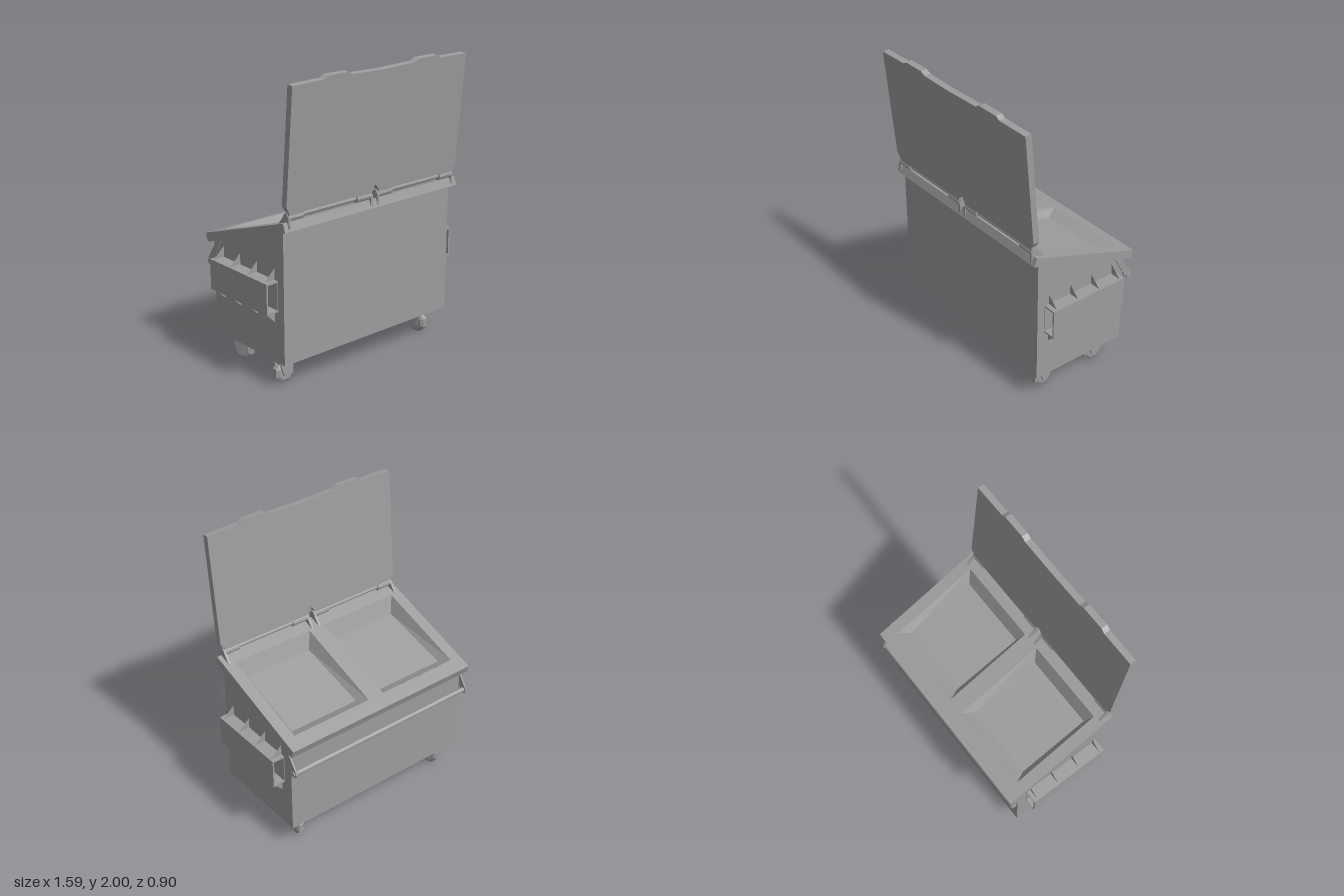
import * as THREE from 'three';

const grey = new THREE.MeshStandardMaterial({ color: 0x9c9c9c, flatShading: true });
const sheet = new THREE.MeshStandardMaterial({ color: 0x9c9c9c, flatShading: true, side: THREE.DoubleSide });

function add(parent, name, geometry, x = 0, y = 0, z = 0, material = grey) {
  const mesh = new THREE.Mesh(geometry, material);
  mesh.name = name;
  mesh.position.set(x, y, z);
  parent.add(mesh);
  return mesh;
}

const toShape = (pts) => new THREE.Shape(pts.map(([a, b]) => new THREE.Vector2(a, b)));
const rect = (x0, x1, y0, y1) => [[x0, y0], [x1, y0], [x1, y1], [x0, y1]];

function extrude(pts, depth, holes = []) {
  const shape = toShape(pts);
  holes.forEach((h) => shape.holes.push(toShape(h)));
  return new THREE.ExtrudeGeometry(shape, { depth, bevelEnabled: false });
}

// Plate drawn in (z, y) and centred on x
function sidePlate(parent, name, pts, x, thick) {
  const mesh = add(parent, name, extrude(pts, thick), x + thick / 2);
  mesh.rotation.y = -Math.PI / 2;
}

// Round bar lying along x
function bar(parent, name, radius, length, x, y, z) {
  const mesh = add(parent, name, new THREE.CylinderGeometry(radius, radius, length, 10), x, y, z);
  mesh.rotation.z = Math.PI / 2;
}

// Four walls between two rectangular loops, closed at the second loop
function tray(openLoop, floorLoop) {
  const geo = new THREE.BufferGeometry();
  geo.setAttribute('position', new THREE.Float32BufferAttribute([...openLoop, ...floorLoop].flat(), 3));
  const index = [4, 5, 6, 4, 6, 7];
  for (let i = 0; i < 4; i++) {
    const j = (i + 1) % 4;
    index.push(i, j, j + 4, i, j + 4, i + 4);
  }
  geo.setIndex(index);
  const flat = geo.toNonIndexed();
  flat.computeVertexNormals();
  return flat;
}

// Height of the sloping top at depth z
const topY = (z) => 0.857 + 0.341 * (z + 0.44);
const loop = (x0, x1, z0, z1, yAt) =>
  [[x0, z0], [x0, z1], [x1, z1], [x1, z0]].map(([x, z]) => [x, yAt(z), z]);

function makeCaster() {
  const g = new THREE.Group();
  g.name = 'caster';
  add(g, 'casterPlate', new THREE.BoxGeometry(0.11, 0.032, 0.135), 0, 0.165, 0);
  // Eight-sided wheel resting on a flat
  const wheel = add(g, 'casterWheel', new THREE.LatheGeometry(
    [[0, -0.028], [0.055, -0.028], [0.076, -0.016], [0.076, 0.016], [0.055, 0.028], [0, 0.028]]
      .map(([r, h]) => new THREE.Vector2(r, h)), 8, Math.PI / 8), 0, 0.07, 0);
  wheel.rotation.z = Math.PI / 2;
  for (const s of [-1, 1]) {
    sidePlate(g, 'casterFork',
      [[-0.055, 0.15], [-0.022, 0.05], [0.022, 0.05], [0.055, 0.15]], s * 0.036, 0.012);
  }
  return g;
}

// Fork pocket with thin gussets, and the rail bracket, for the +x side
function makeSide() {
  const g = new THREE.Group();
  g.name = 'sideFittings';
  add(g, 'forkPocket', extrude(rect(0.7, 0.795, 0.525, 0.73), 0.582,
    [rect(0.711, 0.784, 0.536, 0.719)]), 0, 0, -0.309);
  for (const z of [0.24, 0.067, -0.107, -0.28]) {
    add(g, 'upperGusset', extrude([[0.705, 0.73], [0.785, 0.73], [0.705, 0.805]], 0.002), 0, 0, z - 0.001);
    add(g, 'lowerGusset', extrude([[0.705, 0.525], [0.705, 0.445], [0.785, 0.525]], 0.002), 0, 0, z - 0.001);
  }
  sidePlate(g, 'railBracket', [[-0.28, 0.87], [-0.36, 0.845], [-0.355, 0.81], [-0.438, 0.69],
    [-0.446, 0.665], [-0.435, 0.642], [-0.41, 0.642], [-0.392, 0.67]], 0.711, 0.01);
  return g;
}

export function createModel() {
  const model = new THREE.Group();
  model.name = 'dumpster';
  model.rotation.y = 0.006;

  // Hollow body with a sloping top edge
  add(model, 'body', tray(loop(-0.707, 0.707, -0.38, 0.33, (z) => topY(z) - 0.03),
    loop(-0.707, 0.707, -0.38, 0.33, () => 0.18)), 0, 0, 0, sheet);

  // Sloping rim slab with two openings
  const rim = add(model, 'rim', extrude(rect(-0.73, 0.73, 0, 0.845), 0.06,
    [-0.65, 0.06].map((x) => rect(x, x + 0.59, 0.1, 0.75))), 0, 0.857, -0.44);
  rim.rotation.x = 1.242;

  // Tapered tubs sunk into the openings, deeper towards the hinge
  for (const x of [-0.65, 0.06]) {
    add(model, 'tub', tray(loop(x, x + 0.59, -0.345, 0.27, topY),
      loop(x + 0.04, x + 0.55, -0.267, 0.228, (z) => topY(z) - 0.082 - 0.08 * z)), 0, 0, 0, sheet);
  }

  // Raised lid with grip tabs on the top edge and notched lower corners
  const half = [[0.04, 0], [0.68, 0], [0.715, 0.05], [0.715, 0.8], [0.48, 0.803],
    [0.45, 0.822], [0.29, 0.822], [0.255, 0.803]];
  const mirrored = half.map(([x, y]) => [-x, y]).reverse();
  const lid = add(model, 'lid', extrude([...half, [0, 0.797], ...mirrored, [0, 0.05]], 0.043), 0, 1.18, 0.329);
  lid.rotation.x = 0.09;

  // Hinge rods, knuckles and lugs
  for (const s of [-1, 1]) {
    bar(model, 'hingeRod', 0.016, 0.66, s * 0.36, 1.158, 0.348);
    for (const x of [0.09, 0.635]) {
      bar(model, 'hingeKnuckle', 0.026, 0.115, s * x, 1.156, 0.35);
      add(model, 'hingeStrap', new THREE.BoxGeometry(0.115, 0.04, 0.03), s * x, 1.17, 0.356);
    }
    for (const x of [0.028, 0.69]) {
      sidePlate(model, 'hingeLug', [[0.375, 1.08], [0.375, 1.155], [0.36, 1.178], [0.335, 1.18],
        [0.315, 1.15], [0.275, 1.1]], s * x, 0.016);
    }
  }

  // Rail along the low side
  bar(model, 'rail', 0.017, 1.45, 0, 0.664, -0.421);

  // Side fittings, mirrored
  for (const s of [1, -1]) {
    const side = makeSide();
    side.scale.x = s;
    model.add(side);
  }

  // Swivelled casters: x, z, turn
  for (const [x, z, turn] of [[0.585, 0.19, 0.08], [0.585, -0.245, -0.08],
    [-0.61, 0.19, Math.PI / 2], [-0.59, -0.245, 0.3]]) {
    const caster = makeCaster();
    caster.position.set(x, 0, z);
    caster.rotation.y = turn;
    model.add(caster);
  }
  return model;
}
